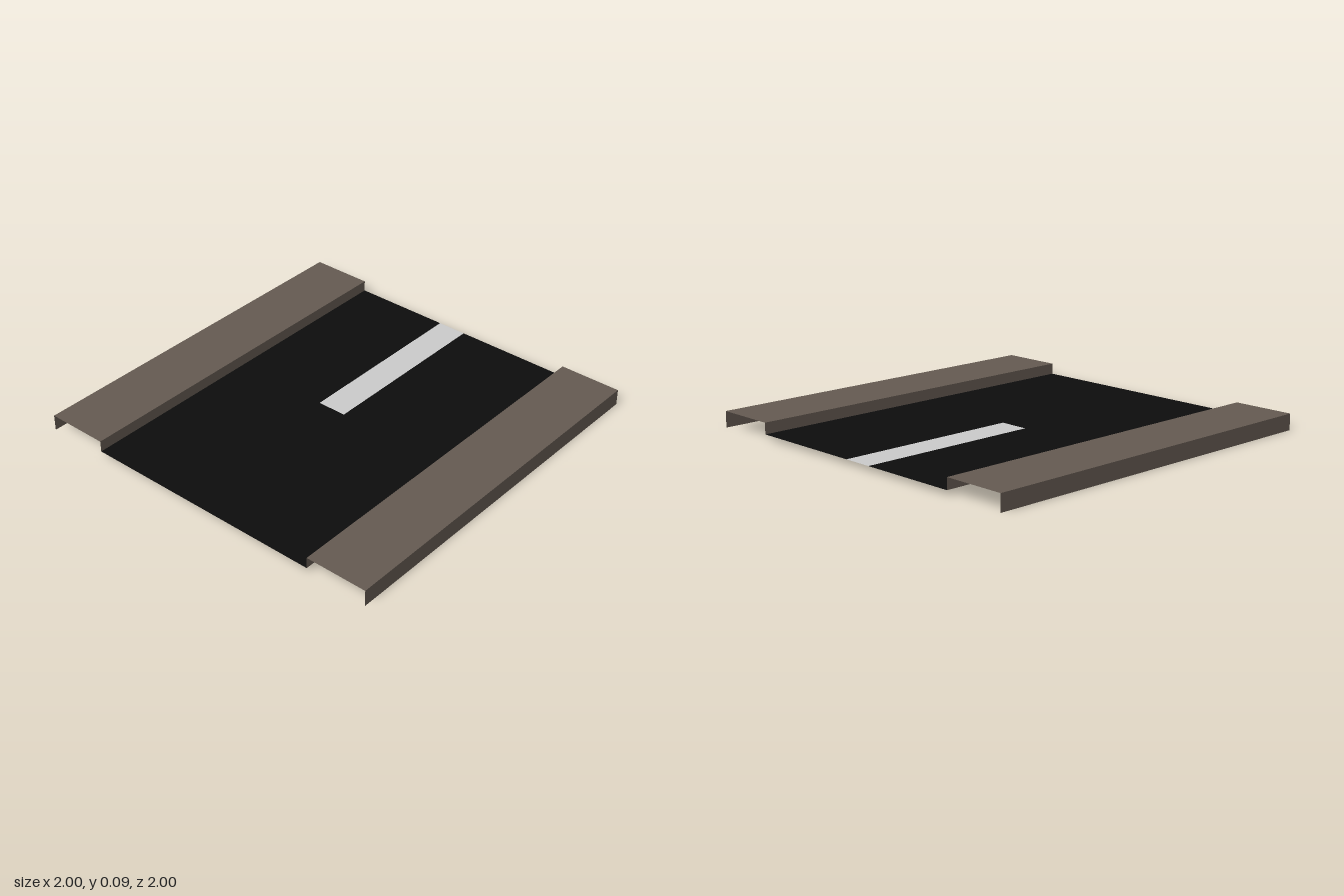
import * as THREE from 'three';

const ROAD_Y = 0.027, WALK_Y = 0.086, INNER = 0.665, HALF = 1;

const material = (name, color) =>
  new THREE.MeshStandardMaterial({ name, color, side: THREE.DoubleSide });

export function createModel() {
  const model = new THREE.Group();
  model.name = 'roadSection';
  const asphalt = material('asphalt', 0x0d0d0d);
  const paint = material('linePaint', 0xcacaca);
  const stone = material('pavementStone', 0x645a51);

  const add = (parent, name, geometry, mat) => {
    const mesh = new THREE.Mesh(geometry, mat);
    mesh.name = name;
    parent.add(mesh);
    return mesh;
  };

  // Flat sheet lying at road height, outlined by [x, -z] points
  const sheet = (points) =>
    new THREE.ShapeGeometry(new THREE.Shape(points.map(([x, y]) => new THREE.Vector2(x, y))))
      .rotateX(-Math.PI / 2)
      .translate(0, ROAD_Y, 0);

  // Road with a slot for the lane line, which is set flush into it
  const [x0, x1] = [-0.13, 0.03];
  add(model, 'roadSurface', sheet([
    [-INNER, -HALF], [INNER, -HALF], [INNER, HALF], [x1, HALF],
    [x1, 0], [x0, 0], [x0, HALF], [-INNER, HALF],
  ]), asphalt);
  add(model, 'laneLine', sheet([[x0, 0], [x1, 0], [x1, HALF], [x0, HALF]]), paint);

  // Raised pavements, open below and at both ends
  for (const side of [1, -1]) {
    const pavement = new THREE.Group();
    pavement.name = side > 0 ? 'leftPavement' : 'rightPavement';
    const wall = (x, bottom, facing) =>
      new THREE.PlaneGeometry(2 * HALF, WALK_Y - bottom)
        .rotateY(facing * Math.PI / 2)
        .translate(x, (WALK_Y + bottom) / 2, 0);
    add(pavement, 'pavementTop',
      new THREE.PlaneGeometry(HALF - INNER, 2 * HALF)
        .rotateX(-Math.PI / 2)
        .translate(side * (HALF + INNER) / 2, WALK_Y, 0), stone);
    add(pavement, 'outerWall', wall(side * HALF, 0, side), stone);
    add(pavement, 'kerbFace', wall(side * INNER, ROAD_Y, -side), stone);
    model.add(pavement);
  }
  return model;
}
